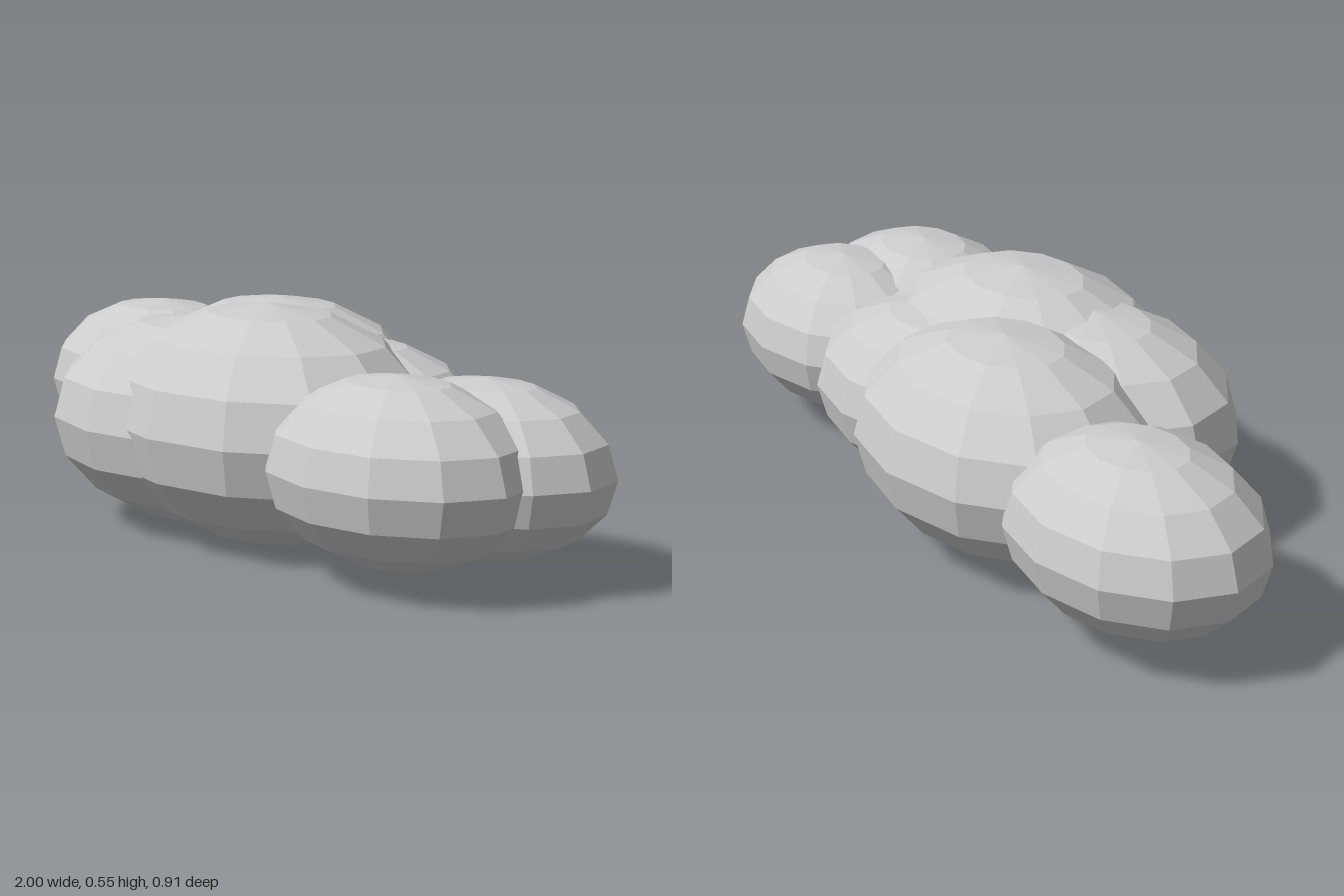
import * as THREE from 'three';

export function createModel() {
  const group = new THREE.Group();
  group.name = 'cloud';
  const cloudGrey = new THREE.MeshStandardMaterial({ color: 0xcccccc });
  cloudGrey.name = 'cloudGrey';
  cloudGrey.flatShading = true;

  // Faceted unit ball shared by every puff
  const ball = new THREE.SphereGeometry(1, 12, 8);

  // Each puff: name, centre, radii
  const puffs = [
    ['rightEndPuff', [-0.655, 0.252, -0.143], [0.345, 0.21, 0.265]],
    ['backPuff', [-0.15, 0.269, -0.133], [0.42, 0.256, 0.323]],
    ['mainPuff', [0.11, 0.277, 0.1], [0.447, 0.276, 0.343]],
    ['frontPuff', [-0.122, 0.26, 0.143], [0.398, 0.245, 0.307]],
    ['backLeftPuff', [0.2, 0.255, -0.092], [0.35, 0.212, 0.268]],
    ['frontLeftEndPuff', [0.62, 0.249, 0.143], [0.34, 0.21, 0.261]],
    ['backLeftEndPuff', [0.675, 0.242, -0.06], [0.322, 0.198, 0.247]],
  ];
  for (const [name, centre, radii] of puffs) {
    const puff = new THREE.Mesh(ball, cloudGrey);
    puff.name = name;
    puff.position.set(...centre);
    puff.scale.set(...radii);
    group.add(puff);
  }
  return group;
}
